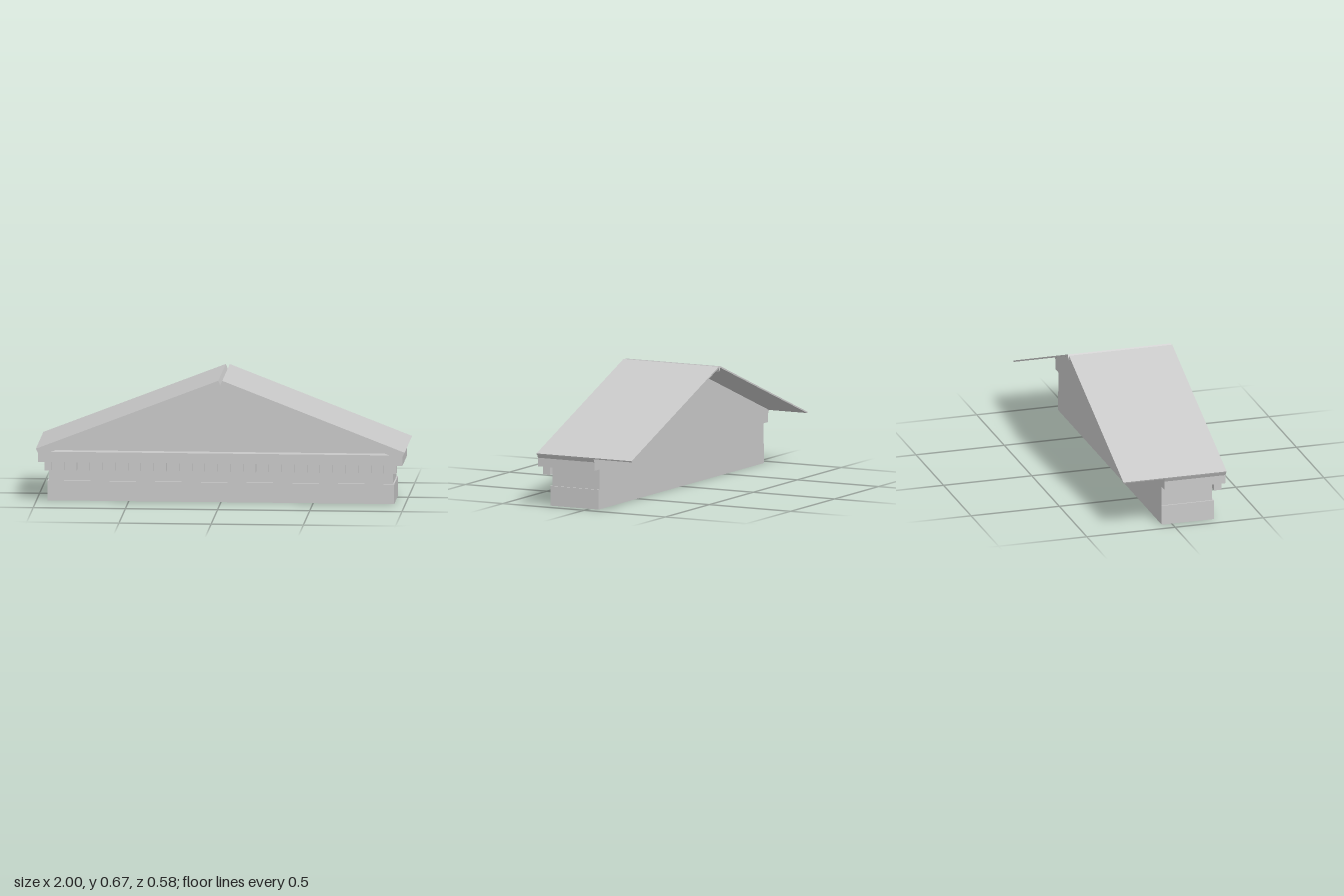
import * as THREE from 'three';

const stone = new THREE.MeshStandardMaterial({ color: 0xc8c8c8 });
stone.name = 'light grey stone';

// Closed outline mirrored from its right half (listed bottom to top)
function mirrored(half) {
  const left = half.filter(([x]) => x > 0).map(([x, y]) => [-x, y]).reverse();
  return [...half, ...left].map(([x, y]) => new THREE.Vector2(x, y));
}

function extrude(name, shape, z0, z1) {
  const geo = new THREE.ExtrudeGeometry(shape, { depth: z1 - z0, bevelEnabled: false });
  geo.translate(0, 0, z0);
  const mesh = new THREE.Mesh(geo, stone);
  mesh.name = name;
  return mesh;
}

function block(name, x0, x1, y0, y1, z0, z1) {
  const mesh = new THREE.Mesh(new THREE.BoxGeometry(x1 - x0, y1 - y0, z1 - z0), stone);
  mesh.position.set((x0 + x1) / 2, (y0 + y1) / 2, (z0 + z1) / 2);
  mesh.name = name;
  return mesh;
}

export function createModel() {
  const model = new THREE.Group();
  model.name = 'pediment';
  const back = -0.057;

  // Entablature
  model.add(block('architrave', -0.94, 0.94, 0, 0.108, back, 0.24));
  model.add(block('frieze', -0.932, 0.932, 0.108, 0.218, back, 0.23));

  // Row of dentils under the cornice
  const dentils = new THREE.Group();
  dentils.name = 'dentils';
  const count = 28, width = 0.036, reach = 0.954;
  for (let i = 0; i < count; i++) {
    const x = -reach + i * (2 * reach - width) / (count - 1);
    dentils.add(block('dentil', x, x + width, 0.17, 0.218, 0.235, 0.277));
  }
  model.add(dentils);

  // Gable: solid tympanum wall behind, cornice frame with a triangular opening in front
  const gable = mirrored([[0.988, 0.218], [0.988, 0.265], [0.997, 0.283], [0.009, 0.665], [0, 0.643]]);
  model.add(extrude('tympanum', new THREE.Shape(gable), back, 0.23));
  const frame = new THREE.Shape(gable);
  frame.holes.push(new THREE.Path(mirrored([[0.918, 0.274], [0, 0.62]])));
  model.add(extrude('cornice', frame, 0.23, 0.29));

  // Thin roof with a narrow groove along the ridge
  const roof = new THREE.Shape(mirrored([
    [0, 0.643], [0.009, 0.665], [0.997, 0.283], [1, 0.29], [0.011, 0.673], [0, 0.648],
  ]));
  model.add(extrude('roof', roof, -0.2925, 0.2925));

  return model;
}
